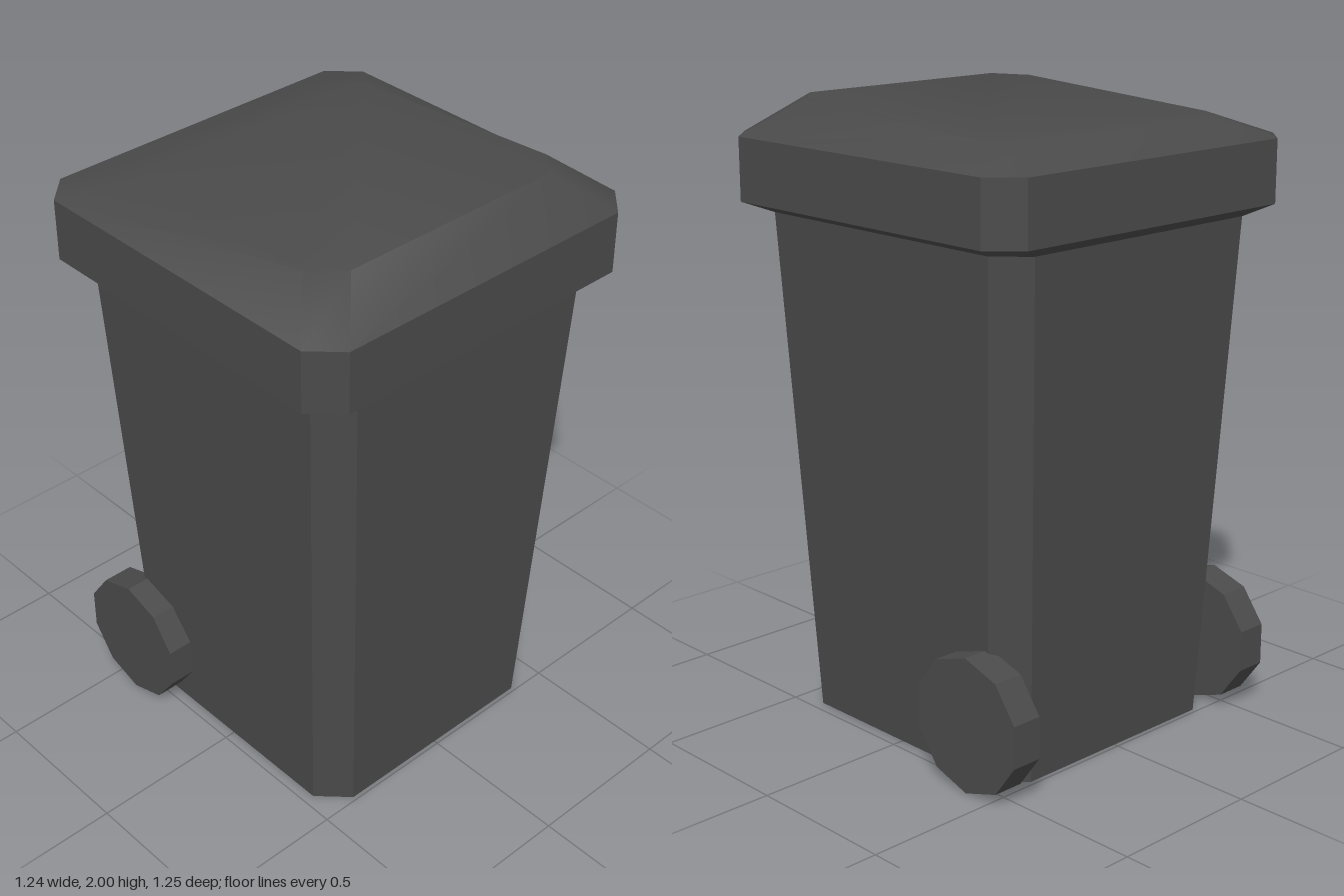
import * as THREE from 'three';
import { toCreasedNormals } from 'three/addons/utils/BufferGeometryUtils.js';

// Rectangle with cut corners; halfX, halfZ, corner cut, height, slope of height along z
function ring(hx, hz, cut, y, slope = 0) {
  const a = hx - cut, b = hz - cut;
  return [[hx, -b], [hx, b], [a, hz], [-a, hz], [-hx, b], [-hx, -b], [-a, -hz], [a, -hz]]
    .map(([x, z]) => new THREE.Vector3(x, y + slope * z, z));
}

// Skin between rings from bottom to top, closed at both ends
function loft(rings, crease) {
  const pts = [];
  const n = rings[0].length;
  for (let r = 0; r < rings.length - 1; r++) {
    const lo = rings[r], hi = rings[r + 1];
    for (let i = 0; i < n; i++) {
      const j = (i + 1) % n;
      pts.push(lo[i], hi[i], lo[j], lo[j], hi[i], hi[j]);
    }
  }
  const bottom = rings[0], top = rings[rings.length - 1];
  for (let i = 1; i < n - 1; i++) {
    pts.push(bottom[0], bottom[i], bottom[i + 1]);
    pts.push(top[0], top[i + 1], top[i]);
  }
  return toCreasedNormals(new THREE.BufferGeometry().setFromPoints(pts), crease);
}

export function createModel() {
  const group = new THREE.Group();
  const plastic = new THREE.MeshStandardMaterial({ color: 0x4a4a4a });
  plastic.name = 'dark grey plastic';

  const add = (name, geometry) => {
    const mesh = new THREE.Mesh(geometry, plastic);
    mesh.name = name;
    group.add(mesh);
    return mesh;
  };

  // Tapered bin body
  add('body', loft([
    ring(0.465, 0.488, 0.092, 0.005),
    ring(0.536, 0.569, 0.091, 1.65),
  ], 0.5));

  // Lid with lip, bevelled rim and a top sloping down to the back
  add('lid', loft([
    ring(0.536, 0.569, 0.091, 1.645),
    ring(0.62, 0.627, 0.09, 1.68),
    ring(0.62, 0.627, 0.09, 1.88),
    ring(0.475, 0.477, 0.09, 1.97, 0.063),
  ], 0.61));

  // Ten-sided wheels at the back
  const wheel = new THREE.CylinderGeometry(0.218, 0.218, 0.103, 10);
  wheel.rotateY(Math.PI / 10);
  wheel.rotateZ(Math.PI / 2);
  const wheelGeometry = toCreasedNormals(wheel, 0.6);
  for (const [name, side] of [['leftWheel', 1], ['rightWheel', -1]]) {
    add(name, wheelGeometry).position.set(side * 0.512, 0.221, -0.403);
  }

  return group;
}
